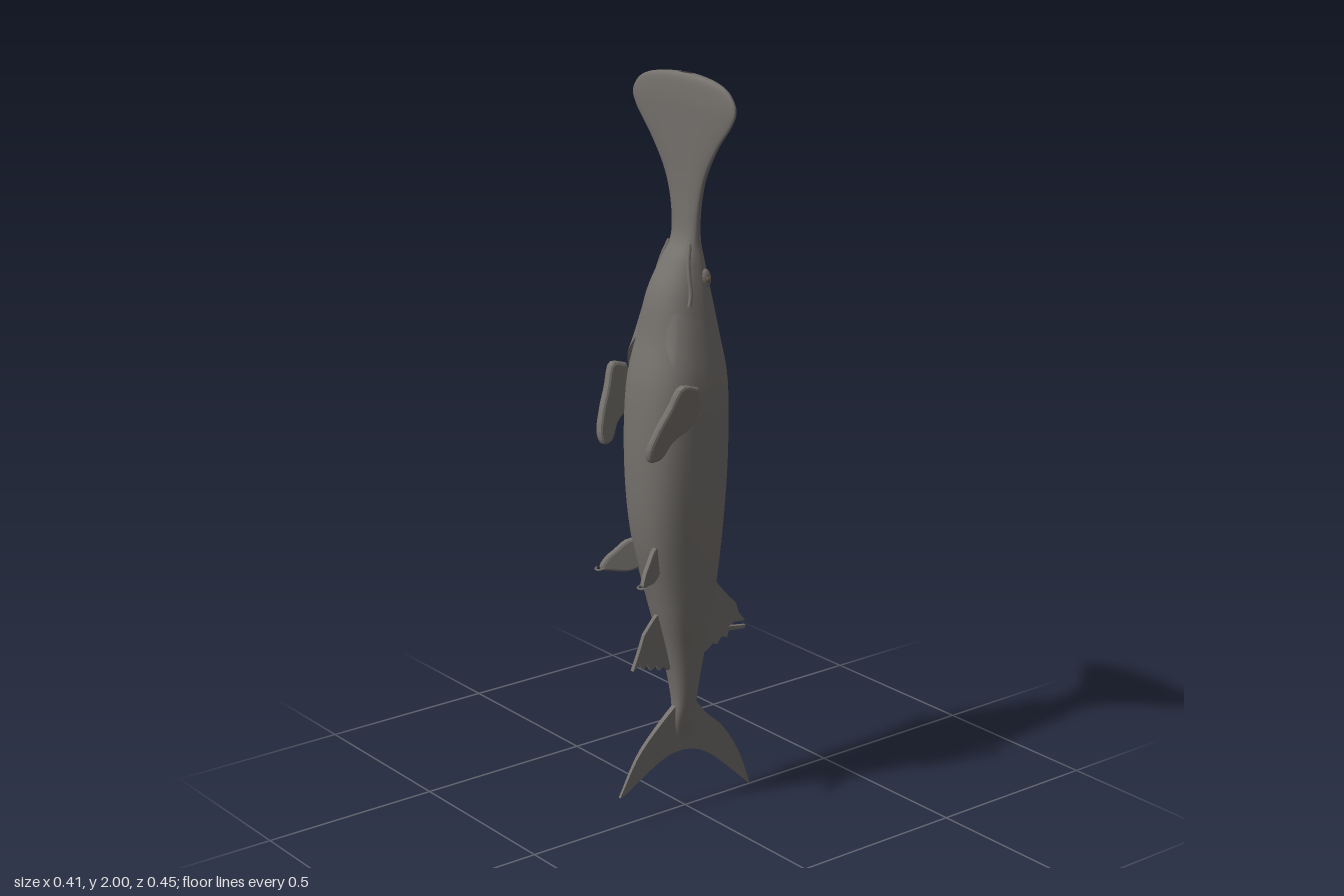
import * as THREE from 'three';
import { ParametricGeometry } from 'three/addons/geometries/ParametricGeometry.js';

// Body sections from snout tip to tail root: y, half width, belly z, back z, z of widest point
const SECTIONS = [
  [2.0, 0.025, 0.004, -0.012, -0.002], [1.996, 0.085, 0.01, -0.018, 0], [1.985, 0.145, 0.014, -0.023, 0.003],
  [1.965, 0.185, 0.016, -0.027, 0.005], [1.93, 0.207, 0.017, -0.029, 0.006], [1.89, 0.19, 0.016, -0.029, 0.006],
  [1.82, 0.13, 0.014, -0.027, 0.004], [1.74, 0.08, 0.012, -0.026, 0], [1.66, 0.056, 0.013, -0.026, -0.002],
  [1.58, 0.05, 0.022, -0.03, -0.002], [1.52, 0.062, 0.06, -0.042, 0.002], [1.44, 0.08, 0.1, -0.06, 0.012],
  [1.33, 0.1, 0.122, -0.086, 0.025], [1.2, 0.117, 0.152, -0.113, 0.035], [1.0, 0.115, 0.163, -0.116, 0.035],
  [0.8, 0.1, 0.15, -0.104, 0.03], [0.6, 0.077, 0.102, -0.08, 0.018], [0.45, 0.05, 0.062, -0.054, 0.008],
  [0.33, 0.032, 0.04, -0.034, 0.004], [0.25, 0.017, 0.04, -0.034, 0.003], [0.19, 0.004, 0.03, -0.028, 0.002],
];

// Smooth section at parameter t in 0..1
function section(t) {
  const last = SECTIONS.length - 1;
  const s = THREE.MathUtils.clamp(t, 0, 1) * last;
  const i = Math.min(Math.floor(s), last - 1), f = s - i;
  const at = (k) => SECTIONS[THREE.MathUtils.clamp(k, 0, last)];
  return SECTIONS[0].map((_, c) => {
    const p = at(i - 1)[c], q = at(i)[c], r = at(i + 1)[c], w = at(i + 2)[c];
    return q + 0.5 * f * (r - p + f * (2 * p - 5 * q + 4 * r - w + f * (3 * (q - r) + w - p)));
  });
}

// Section parameter at a given height
function paramAt(y) {
  let a = 0, b = 1;
  for (let i = 0; i < 30; i++) {
    const m = (a + b) / 2;
    if (section(m)[0] > y) a = m; else b = m;
  }
  return a;
}

// Point on the skin: angle 0 is the left side, 90 degrees the belly
function skin(angle, t, lift, target) {
  const [y, w, front, back, mid] = section(t);
  const c = Math.cos(angle), s = Math.sin(angle);
  const e = s > 0 ? 0.8 : 0.97;
  const x = (w + lift) * Math.sign(c) * Math.abs(c) ** e;
  const z = mid + (s > 0 ? front - mid + lift : mid - back + lift) * Math.sign(s) * Math.abs(s) ** e;
  return target.set(x, y, z);
}

// Thin fin from a (z, y) outline; rule may bend it by moving each vertex
function finGeometry(points, thickness, bevel, rule) {
  const shape = new THREE.Shape(points.map(([z, y]) => new THREE.Vector2(z, y)));
  const g = new THREE.ExtrudeGeometry(shape, {
    depth: thickness, bevelEnabled: bevel > 0, bevelThickness: bevel, bevelSize: bevel,
    bevelOffset: -bevel, bevelSegments: 2,
  });
  g.translate(0, 0, -thickness / 2);
  g.rotateY(-Math.PI / 2);
  if (rule) {
    const p = g.attributes.position, v = new THREE.Vector3();
    for (let i = 0; i < p.count; i++) {
      rule(v.fromBufferAttribute(p, i));
      p.setXYZ(i, v.x, v.y, v.z);
    }
    g.computeVertexNormals();
  }
  return g;
}

// Smooth outline through control points
const smooth = (pts, n) => new THREE.CatmullRomCurve3(pts.map(([z, y]) => new THREE.Vector3(z, y, 0)))
  .getPoints(n).map((p) => [p.x, p.y]);

export function createModel() {
  const model = new THREE.Group();
  const skinMat = new THREE.MeshStandardMaterial({ color: 0x74706c, side: THREE.DoubleSide });
  skinMat.name = 'greySkin';
  const eyeMat = new THREE.MeshStandardMaterial({ color: 0x6a5744 });
  eyeMat.name = 'brownEye';

  const add = (name, geometry, material = skinMat) => {
    const mesh = new THREE.Mesh(geometry, material);
    mesh.name = name;
    model.add(mesh);
    return mesh;
  };
  const addPair = (name, geometry, material) => {
    add(name + 'Left', geometry, material);
    add(name + 'Right', geometry, material).scale.x = -1;
  };

  // Body with paddle snout
  add('body', new ParametricGeometry((u, v, p) => skin(u * Math.PI * 2, v, 0, p), 40, 100));

  // Gill covers: raised flaps ending in a backward point
  const rad = THREE.MathUtils.degToRad;
  addPair('gillCover', new ParametricGeometry((u, v, p) => {
    const deg = -50 + u * 110;
    const edge = deg > -20 ? 1.11 + 0.22 * (deg + 20) / 80 : 1.11 + 0.2 * (-20 - deg) / 30;
    const y = THREE.MathUtils.lerp(1.44, edge, v);
    const fade = Math.min(1, 6 * u * (1 - u) + 0.15);
    skin(rad(deg), paramAt(y), -0.003 + 0.014 * v * fade, p);
  }, 24, 12));

  // Mouth corners
  const lip = [[18, 1.42], [16, 1.45], [22, 1.49], [30, 1.53], [40, 1.57]]
    .map(([a, y]) => skin(rad(a), paramAt(y), 0, new THREE.Vector3()));
  addPair('mouthCorner', new THREE.TubeGeometry(new THREE.CatmullRomCurve3(lip), 16, 0.006, 6));

  // Eyes on low bumps
  const socket = new THREE.SphereGeometry(0.022, 14, 10);
  socket.scale(0.6, 1.2, 0.8);
  socket.translate(0.062, 1.48, -0.015);
  addPair('eyeSocket', socket);
  const eye = new THREE.SphereGeometry(0.009, 10, 8);
  eye.translate(0.07, 1.48, -0.017);
  addPair('eye', eye, eyeMat);

  // Forked tail, thinning towards the tips
  add('tailFin', finGeometry([
    ...smooth([[0.03, 0.31], [0.09, 0.26], [0.16, 0.19], [0.222, 0.085]], 10),
    ...smooth([[0.2, 0.092], [0.12, 0.14], [0.05, 0.168], [-0.02, 0.165], [-0.08, 0.135], [-0.15, 0.075], [-0.225, 0.003]], 16),
    ...smooth([[-0.215, 0.035], [-0.18, 0.12], [-0.12, 0.21], [-0.07, 0.255], [-0.025, 0.31]], 10),
  ], 0.016, 0, (v) => { v.x *= 0.3 + 2.4 * Math.max(0, v.y - 0.02); }));

  // Back fin with a ragged edge
  add('backFin', finGeometry([
    [-0.05, 0.66], [-0.085, 0.645], [-0.11, 0.615], [-0.145, 0.575], [-0.17, 0.55], [-0.18, 0.52], [-0.202, 0.493],
    [-0.165, 0.497], [-0.145, 0.488], [-0.205, 0.478], [-0.2, 0.47], [-0.145, 0.476], [-0.14, 0.458],
    [-0.12, 0.465], [-0.105, 0.447], [-0.09, 0.452], [-0.065, 0.435], [-0.03, 0.44],
  ], 0.012, 0));

  // Belly fin near the tail
  add('rearBellyFin', finGeometry([
    [0.06, 0.6], [0.105, 0.57], [0.14, 0.53], [0.155, 0.49], [0.178, 0.437], [0.155, 0.452], [0.145, 0.435],
    [0.13, 0.446], [0.118, 0.425], [0.1, 0.436], [0.09, 0.418], [0.075, 0.428], [0.062, 0.412], [0.03, 0.43],
  ], 0.012, 0));

  // Chest fins: thick blades leaning inwards at the tips
  addPair('chestFin', finGeometry(smooth([
    [0.08, 1.23], [0.13, 1.24], [0.16, 1.18], [0.185, 1.13], [0.204, 1.07], [0.195, 1.042],
    [0.165, 1.045], [0.135, 1.09], [0.09, 1.12], [0.065, 1.18],
  ], 30), 0.008, 0.008, (v) => {
    v.x += 0.105 + 0.2 * (v.y - 1.04) + 0.12 * (0.15 - v.z);
  }));

  // Pelvic fins spreading outwards
  addPair('pelvicFin', finGeometry(smooth([
    [0.1, 0.78], [0.145, 0.785], [0.18, 0.755], [0.2, 0.735], [0.212, 0.706], [0.18, 0.698], [0.15, 0.695], [0.11, 0.71],
  ], 24), 0.006, 0.006, (v) => { v.x += 0.05 + 0.55 * (v.z - 0.14); }));

  // Curled fin tips
  addPair('pelvicFinTip', new THREE.TubeGeometry(new THREE.CatmullRomCurve3([
    new THREE.Vector3(0.078, 0.708, 0.205), new THREE.Vector3(0.085, 0.705, 0.222),
    new THREE.Vector3(0.097, 0.705, 0.222), new THREE.Vector3(0.106, 0.706, 0.212),
  ]), 10, 0.003, 5));

  return model;
}
